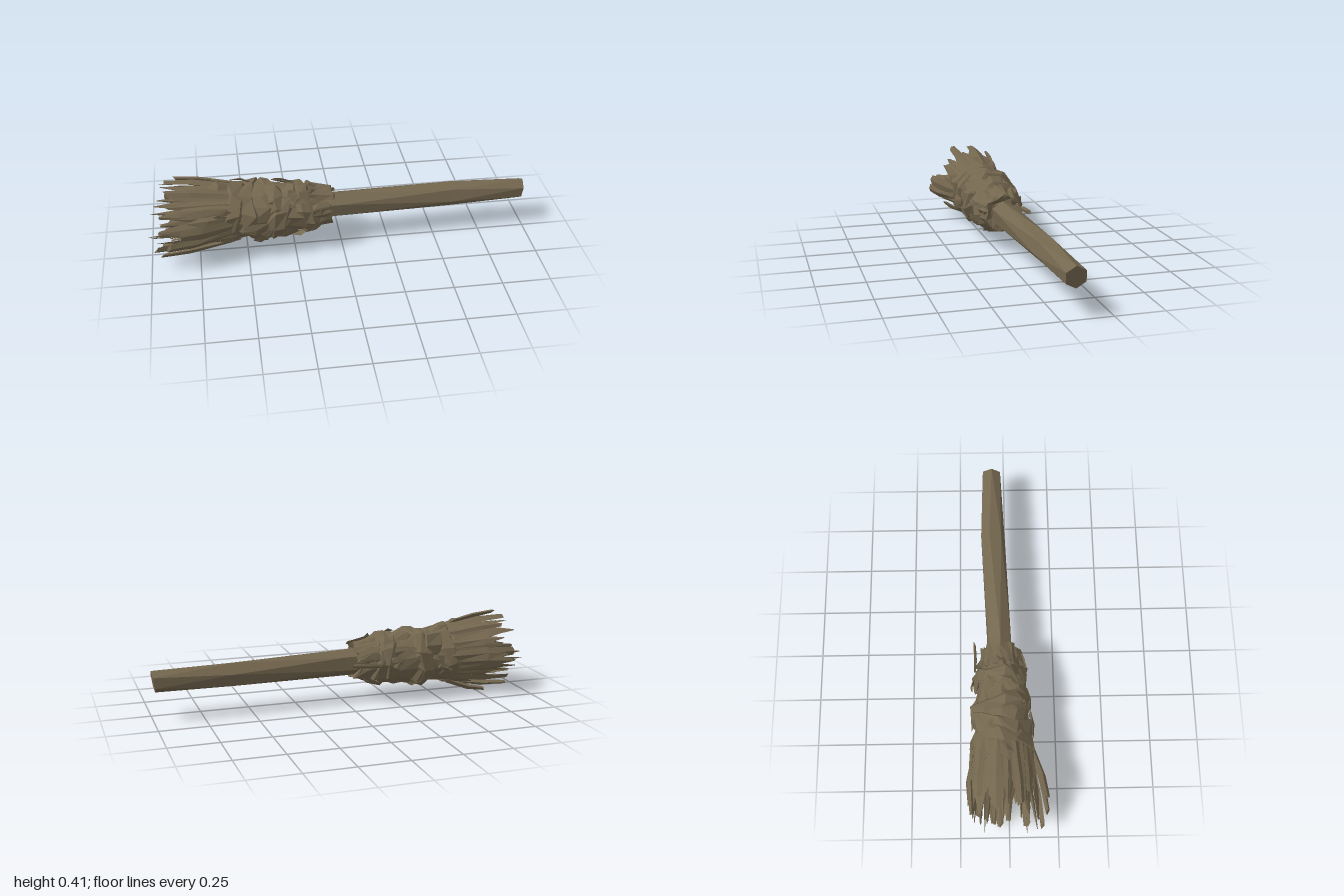
import * as THREE from 'three';
import { mergeGeometries } from 'three/addons/utils/BufferGeometryUtils.js';

// Small seeded generator for the ragged shapes
let seed = 7;
function rand(a, b) {
  seed = (seed * 16807) % 2147483647;
  return a + (b - a) * (seed / 2147483647);
}

const CY = 0.213, CZ = -0.032; // axis of the bundle
const TAU = Math.PI * 2;

// Radius of the bundle along its length
const profile = [[-0.85, 0.165], [-0.7, 0.16], [-0.58, 0.156], [-0.49, 0.142], [-0.4, 0.15], [-0.3, 0.134], [-0.2, 0.13], [-0.1, 0.11], [-0.03, 0.092]];
function radiusAt(x) {
  if (x <= profile[0][0]) return profile[0][1];
  for (let i = 1; i < profile.length; i++) {
    const [x0, r0] = profile[i - 1], [x1, r1] = profile[i];
    if (x <= x1) return r0 + (r1 - r0) * (x - x0) / (x1 - x0);
  }
  return profile[profile.length - 1][1];
}

const polar = (x, r, a) => [x, CY + r * Math.cos(a), CZ + r * Math.sin(a)];

// Skin a list of equal-sized cross-sections running towards +x, with end caps
function loft(rings) {
  const n = rings[0].length, pos = rings.flat(2), idx = [];
  for (let k = 0; k < rings.length - 1; k++) {
    for (let j = 0; j < n; j++) {
      const a = k * n + j, b = k * n + (j + 1) % n;
      idx.push(a, b, a + n, b, b + n, a + n);
    }
  }
  const last = (rings.length - 1) * n;
  for (let j = 1; j < n - 1; j++) {
    idx.push(0, j + 1, j);
    idx.push(last, last + j, last + j + 1);
  }
  const g = new THREE.BufferGeometry();
  g.setAttribute('position', new THREE.Float32BufferAttribute(pos, 3));
  g.setIndex(idx);
  const flat = g.toNonIndexed();
  flat.computeVertexNormals();
  return flat;
}

// Bent, tapering straw from (x0, r0) at the root to (x1, r1) at the tip
function straw(a, x0, r0, x1, r1, width, thick, tip = 0.25, bulge = rand(-0.012, 0.012), spread = 0.12) {
  const twist = rand(-5, 5) * spread, drift = rand(-1, 1) * spread;
  return loft([1, 0.6, 0].map((t) => {
    const x = x0 + (x1 - x0) * t;
    const r = r0 + (r1 - r0) * t + bulge * Math.sin(t * Math.PI);
    const s = t === 1 ? tip : t ? 1 : 0.8;
    const [, cy, cz] = polar(x, r, a + drift * t);
    const ang = a + twist * t;
    return [[1, 0], [0, 1], [-1, 0], [0, -1]].map(([u, v]) => {
      const p = u * thick * s, q = v * width * s;
      return [x + rand(-0.015, 0.015),
        cy + p * Math.cos(ang) - q * Math.sin(ang),
        cz + p * Math.sin(ang) + q * Math.cos(ang)];
    });
  }));
}

export function createModel() {
  seed = 7;
  const group = new THREE.Group();
  const brown = new THREE.MeshStandardMaterial({ color: 0x74674f });
  brown.name = 'weathered brown';
  brown.flatShading = true;
  const add = (name, geometry) => {
    const mesh = new THREE.Mesh(geometry, brown);
    mesh.name = name;
    group.add(mesh);
  };

  // Handle: slightly bowed and twisted six-sided stick
  const sections = [
    // x, centre y, centre z, radius, twist
    [-0.2, 0.207, -0.037, 0.069, 0.1], [0, 0.206, -0.039, 0.069, 0.1],
    [0.6, 0.2, -0.064, 0.066, 0.75], [0.992, 0.198, -0.069, 0.055, 1.1],
  ];
  add('handle', loft(sections.map(([x, y, z, r, w], k) =>
    Array.from({ length: 6 }, (_, j) => {
      const a = j / 6 * TAU + w;
      const lean = k === sections.length - 1 ? 0.008 * Math.cos(a) : 0;
      return [x + lean, y + r * Math.cos(a), z + r * Math.sin(a)];
    }))));

  // Bundle core: crumpled shell under the bindings, hollowed at the brush end
  const core = [];
  for (const [x, s] of [[-0.66, 0.25], [-0.7, 0.7], [-0.69, 0.88], [-0.58, 0.95], [-0.49, 0.97],
    [-0.4, 0.97], [-0.3, 0.97], [-0.2, 0.97], [-0.12, 0.98], [-0.06, 0.98], [-0.075, 0.6]]) {
    core.push(Array.from({ length: 13 }, (_, j) =>
      polar(x + rand(-0.02, 0.02), radiusAt(x) * s + rand(-0.012, 0.008), (j + rand(-0.25, 0.25)) / 13 * TAU)));
  }
  add('bundleCore', loft(core));

  // Bindings: tilted cloth strips wound around the bundle
  const bands = [];
  for (const [x, tilt, phase, w] of [[-0.57, 0.03, 0.4, 0.06], [-0.46, 0.05, 2.6, 0.065],
    [-0.38, 0.05, 5.0, 0.06], [-0.28, 0.06, 1.2, 0.06], [-0.19, 0.03, 3.6, 0.055]]) {
    bands.push(loft([[-1, -0.02], [-0.5, 0.008], [0.5, 0.012], [1, -0.02]].map(([o, lift]) =>
      Array.from({ length: 11 }, (_, j) => {
        const a = (j + rand(-0.3, 0.3)) / 11 * TAU;
        const px = x + o * w + tilt * Math.cos(a + phase) + rand(-0.016, 0.016);
        return polar(px, radiusAt(px) + lift + rand(-0.01, 0.012), a);
      }))));
  }
  add('bindings', mergeGeometries(bands));

  // Brush: layers of broad, ragged straws from the outside inwards
  const straws = [];
  for (const [count, r0, r1, width] of [[26, 0.146, 0.163, 0.034], [22, 0.12, 0.138, 0.03], [15, 0.085, 0.1, 0.028], [9, 0.04, 0.052, 0.026]]) {
    for (let i = 0; i < count; i++) {
      const a = (i + rand(-0.4, 0.4)) / count * TAU;
      straws.push(straw(a, rand(-0.62, -0.54), r0, rand(-0.965, -0.8), r1 + rand(-0.018, 0.015),
        width * rand(0.7, 1.2), rand(0.006, 0.014), rand(0.03, 0.4)));
    }
  }
  // A few long points
  for (const [a, r] of [[2.1, 0.13], [1.55, 0.17], [4.2, 0.1]]) straws.push(straw(a, -0.6, 0.1, -0.988, r, 0.02, 0.01, 0.05));
  add('brushStraws', mergeGeometries(straws));

  // Splayed clumps standing off the brush: tip y, z, x and width
  const clumps = [];
  for (const [y, z, x, w] of [[0.402, 0.054, -0.9, 0.024], [0.4, -0.06, -0.9, 0.036], [0.372, -0.143, -0.86, 0.018],
    [0.23, 0.193, -0.84, 0.036], [0.165, 0.192, -0.9, 0.034], [0.14, 0.165, -0.97, 0.03], [0.05, 0.085, -0.94, 0.028],
    [0.02, -0.045, -0.94, 0.024], [0.011, -0.103, -0.78, 0.022], [0.085, -0.152, -0.9, 0.028], [0.23, -0.188, -0.92, 0.03]]) {
    const a = Math.atan2(z - CZ, y - CY), r = Math.hypot(y - CY, z - CZ);
    clumps.push(straw(a, -0.57, 0.15, x, r, w, 0.013, 0.75, 0.008, 0.03));
  }
  add('splayedClumps', mergeGeometries(clumps));

  // Torn flaps scattered over the bindings and a frayed collar by the handle
  const flaps = [];
  for (let i = 0; i < 22; i++) {
    const x0 = rand(-0.6, -0.16), x1 = x0 - rand(0.06, 0.13);
    flaps.push(straw(rand(0, TAU), x0, radiusAt(x0) - 0.002, x1, radiusAt(x1) + rand(0.008, 0.018), rand(0.02, 0.036), 0.006, 0.3));
  }
  for (let i = 0; i < 12; i++) {
    // The collar reaches further along the handle on top than below
    const a = (i + rand(-0.3, 0.3)) / 12 * TAU;
    const x = rand(-0.085, -0.055) + 0.02 * Math.cos(a);
    flaps.push(straw(a, x, rand(0.085, 0.1), -0.17, 0.122, 0.03, 0.01, 0.9));
  }
  // Long stray thread at the back of the collar
  flaps.push(straw(4.75, -0.025, 0.135, -0.16, 0.135, 0.014, 0.008, 0.8));
  add('tornFlaps', mergeGeometries(flaps));

  return group;
}
